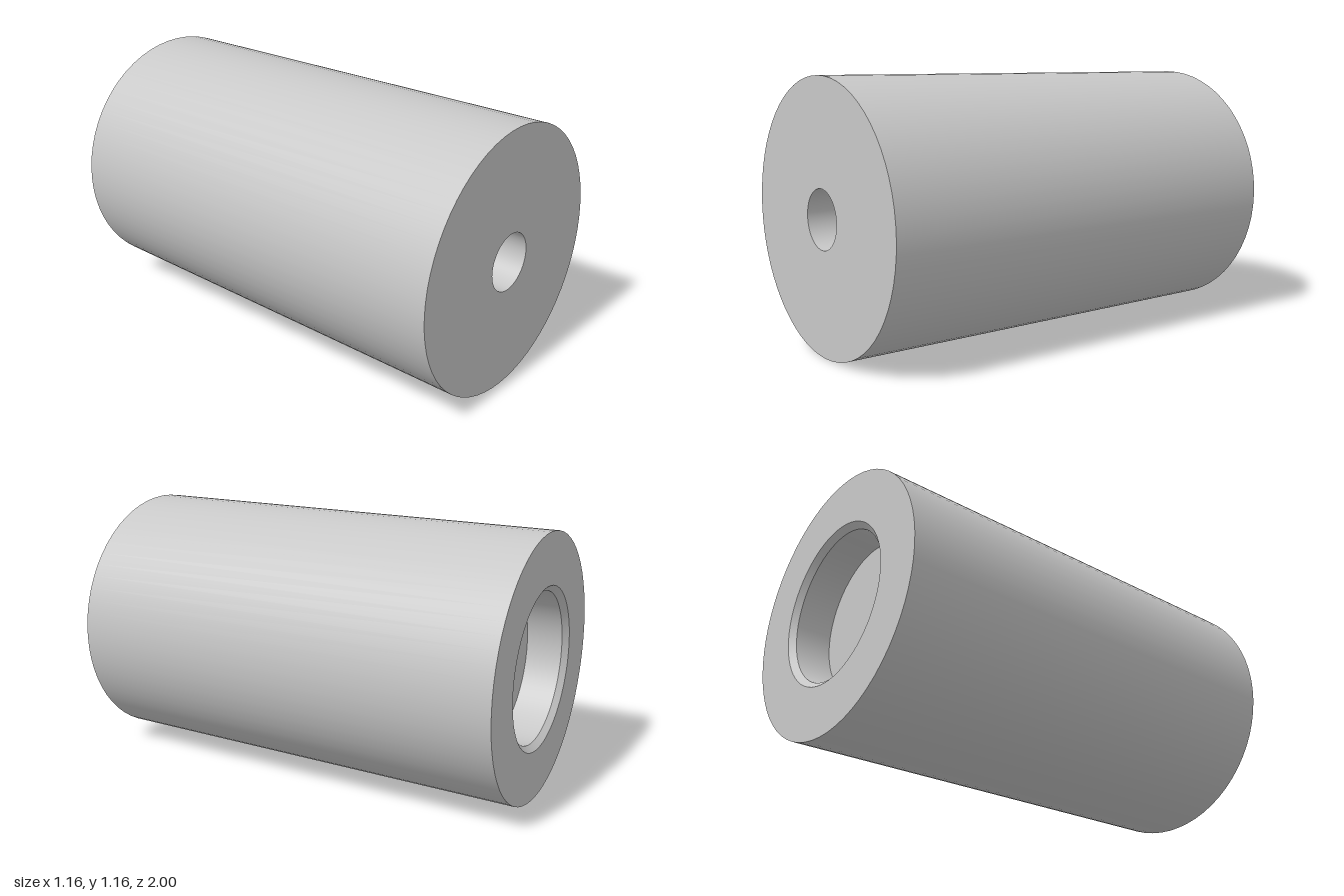
import * as THREE from 'three';

// Each named surface is a run of [radius, z] points, ordered from the back axis to the front axis
const R = 0.582, HOLE = 0.127, BORE = 0.33, RIM = 0.355;
const SURFACES = {
  recessFloor: [[0, -0.815], [BORE, -0.815]],
  recessWall: [[BORE, -0.815], [BORE, -0.975]],
  recessChamfer: [[BORE, -0.975], [RIM, -1]],
  backFace: [[RIM, -1], [R, -1]],
  outerWall: [[R, -1], [R, 1]],
  frontFace: [[R, 1], [HOLE, 1]],
  drilledHoleWall: [[HOLE, 1], [HOLE, 0.4]],
  drilledHoleTip: [[HOLE, 0.4], [0, 0.324]],
};

export function createModel() {
  const model = new THREE.Group();
  model.name = 'drilledCylinder';
  const steel = new THREE.MeshStandardMaterial({ color: 0xc8c8c8 });
  steel.name = 'light grey';

  // Separate lathes keep the edges between surfaces sharp and the round walls smooth
  for (const [name, points] of Object.entries(SURFACES)) {
    const profile = points.map(([r, z]) => new THREE.Vector2(r, z));
    const geometry = new THREE.LatheGeometry(profile, 64);
    geometry.rotateX(Math.PI / 2);
    const mesh = new THREE.Mesh(geometry, steel);
    mesh.name = name;
    mesh.position.y = R;
    model.add(mesh);
  }
  return model;
}
